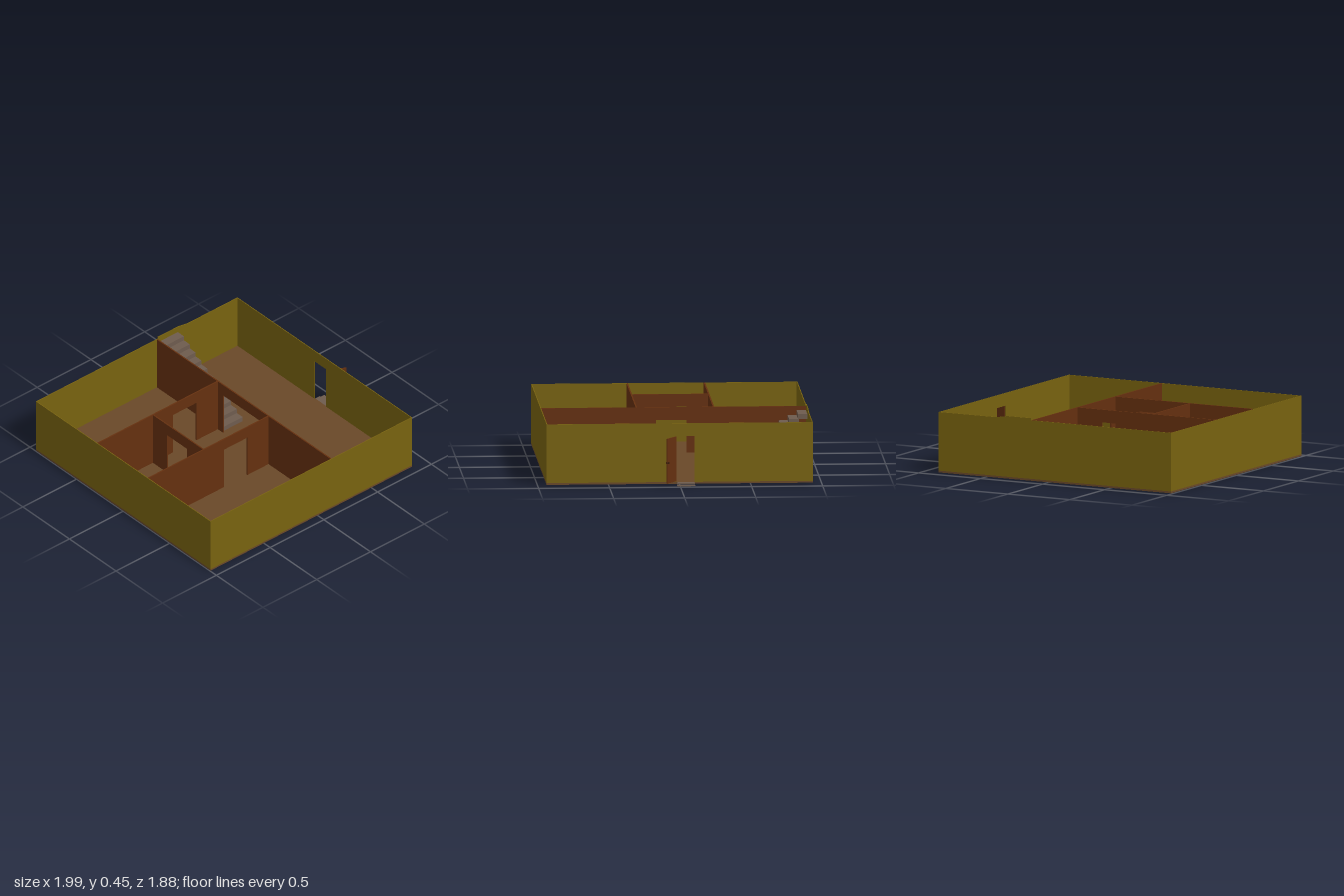
import * as THREE from 'three';

const mat = (name, color) => {
  const m = new THREE.MeshStandardMaterial({ color });
  m.name = name;
  return m;
};

export function createModel() {
  const house = new THREE.Group();
  house.name = 'houseFloor';

  const olive = mat('olive outer wall', 0x78620f);
  const brown = mat('brown inner wall', 0x65300f);
  const tan = mat('tan floor', 0x694828);
  const grey = mat('grey brown steps', 0x6e5c4e);
  const dark = mat('dark handle', 0x3a1d0c);

  const FLOOR = 0.018, TOP = 0.435, DOOR = 0.345, HALF = 0.9375;
  const CX = -0.0625; // centre of the square plan

  const box = (name, material, size, pos, parent = house) => {
    const mesh = new THREE.Mesh(new THREE.BoxGeometry(...size), material);
    mesh.name = name;
    mesh.position.set(...pos);
    parent.add(mesh);
    return mesh;
  };

  // Wall running from a to b along x or z, with an optional doorway and top outline
  const wall = (name, material, axis, at, a, b, thick, door, crest = []) => {
    const pts = [[a, FLOOR]];
    if (door) pts.push([door[0], FLOOR], [door[0], DOOR], [door[1], DOOR], [door[1], FLOOR]);
    pts.push([b, FLOOR], [b, TOP], ...crest, [a, TOP]);
    const shape = new THREE.Shape(pts.map(p => new THREE.Vector2(...p)));
    const geo = new THREE.ExtrudeGeometry(shape, { depth: thick, bevelEnabled: false });
    geo.translate(0, 0, -thick / 2);
    const mesh = new THREE.Mesh(geo, material);
    mesh.name = name;
    if (axis === 'z') {
      mesh.rotation.y = -Math.PI / 2;
      mesh.position.x = at;
    } else mesh.position.z = at;
    house.add(mesh);
  };

  // Floor slab
  box('floor', tan, [2 * HALF, FLOOR - 0.005, 2 * HALF], [CX, (FLOOR + 0.005) / 2, 0]);

  // Outer walls; the back one rises slightly behind the stairs
  const t = 0.006, e = HALF - t / 2;
  wall('frontWall', olive, 'x', e, -1, 0.875, t);
  wall('backWall', olive, 'x', -e, -1, 0.875, t, null,
    [[0.41, TOP], [0.32, 0.45], [0.13, 0.45], [0.13, TOP]]);
  wall('rightWall', olive, 'z', -1 + t / 2, -e, e, t);
  wall('leftWall', olive, 'z', 0.875 - t / 2, -e, e, t, [-0.105, 0.022]);

  // Inner walls with doorways
  const w = 0.01;
  wall('corridorWall', brown, 'z', 0.125, -HALF + t, HALF - t, w, [-0.222, 0.2]);
  for (const [name, z] of [['backRoomWall', -0.282], ['frontRoomWall', 0.262]])
    wall(name, brown, 'x', z, -1 + t, 0.12, w, [-0.295, -0.077]);
  wall('middleRoomWall', brown, 'z', -0.479, -0.277, 0.257, w, [-0.125, 0.09]);

  // Staircase of eleven overlapping slabs
  const stairs = new THREE.Group();
  stairs.name = 'stairs';
  house.add(stairs);
  const rise = 0.0353;
  for (let i = 0; i < 11; i++)
    box('stairStep', grey, [0.185, rise, 0.07],
      [0.2225, FLOOR + rise * (i + 0.5), -0.27 - i * 0.0631], stairs);

  // Entrance steps
  box('upperEntranceStep', grey, [0.043, 0.007, 0.127], [0.8965, 0.0125, -0.042]);
  box('lowerEntranceStep', grey, [0.045, 0.006, 0.127], [0.9385, 0.003, -0.042]);

  // Open front door on its hinge, with a handle on both sides
  const door = new THREE.Group();
  door.name = 'entranceDoor';
  door.position.set(0.877, 0, 0.026);
  door.rotation.y = -0.56;
  house.add(door);
  box('doorPanel', brown, [0.134, 0.318, 0.008], [0.067, 0.183, 0], door);
  box('doorHandle', dark, [0.012, 0.012, 0.022], [0.123, 0.17, 0], door);

  return house;
}
